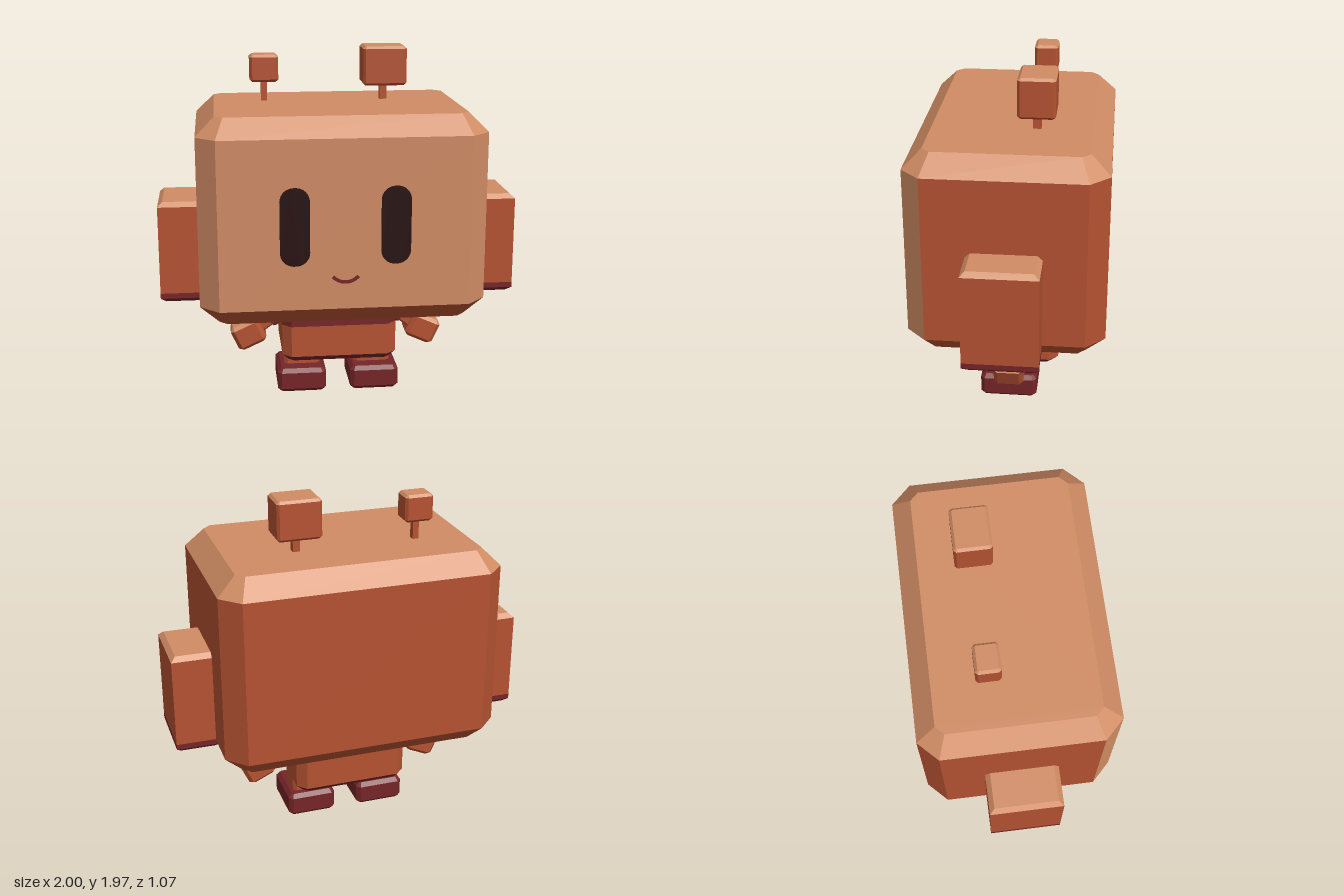
import * as THREE from 'three';

const flat = (name, color) => {
  const m = new THREE.MeshStandardMaterial({ color });
  m.name = name;
  return m;
};

// Lofted block with cut vertical corners.
// rings: [y, inset] from bottom to top. layers: material index for the
// bottom cap, each band and the top cap; an entry may be a function of the side.
function block(hw, hd, cut, rings, layers) {
  const loops = rings.map(([y, inset]) => {
    const w = hw - inset, d = hd - inset, c = Math.max(0, cut - inset * 0.586);
    return [[c - w, d], [w - c, d], [w, d - c], [w, c - d], [w - c, -d], [c - w, -d], [-w, c - d], [-w, d - c]]
      .map(([x, z]) => new THREE.Vector3(x, y, z));
  });
  const points = [];
  const geo = new THREE.BufferGeometry();
  const tri = (a, b, c, mat) => {
    const area = b.clone().sub(a).cross(c.clone().sub(a)).length();
    if (area < 1e-8) return;
    geo.addGroup(points.length, 3, mat);
    points.push(a, b, c);
  };
  const pick = (layer, side) => (typeof layer === 'function' ? layer(side) : layer);
  const low = loops[0], high = loops[loops.length - 1];
  for (let i = 1; i < 7; i++) {
    tri(low[0], low[i + 1], low[i], pick(layers[0], i));
    tri(high[0], high[i], high[i + 1], pick(layers[layers.length - 1], i));
  }
  for (let r = 0; r + 1 < loops.length; r++) {
    for (let i = 0; i < 8; i++) {
      const j = (i + 1) % 8, mat = pick(layers[r + 1], i);
      tri(loops[r][i], loops[r][j], loops[r + 1][j], mat);
      tri(loops[r][i], loops[r + 1][j], loops[r + 1][i], mat);
    }
  }
  geo.setFromPoints(points);
  geo.computeVertexNormals();
  return geo;
}

// Four rings of a box bevelled at top and bottom
const bevelled = (y0, y1, b) => [[y0, b], [y0 + b, 0], [y1 - b, 0], [y1, b]];

export function createModel() {
  const model = new THREE.Group();
  model.name = 'robot';
  const tan = flat('tan', 0xd08c64);
  const rust = flat('rust', 0xb55232);
  const maroon = flat('maroon', 0x752528);
  const ink = flat('darkBrown', 0x270e0e);
  const palette = [tan, rust, maroon];
  const T = 0, R = 1, M = 2;

  const add = (name, geo, mat = palette, x = 0, y = 0, z = 0, tilt = 0) => {
    const mesh = new THREE.Mesh(geo, mat);
    mesh.name = name;
    mesh.position.set(x, y, z);
    mesh.rotation.z = tilt;
    model.add(mesh);
    return mesh;
  };

  // Head: tan face and top, rust sides, back and underside
  const faceSides = (side) => ([7, 0, 1].includes(side) ? T : R);
  add('head', block(0.78, 0.53, 0.105, bevelled(0.525, 1.66, 0.103), [R, R, faceSides, T, T]));

  // Torso with maroon shoulders and hem
  add('torso', block(0.325, 0.26, 0.05,
    [[0.215, 0.035], [0.25, 0], [0.43, 0], [0.54, 0]], [M, M, R, M, M]));

  // Face: rounded eye plates and a smile
  const w = 0.08, h = 0.213, r = 0.075;
  const eyeShape = new THREE.Shape();
  eyeShape.moveTo(-w + r, -h);
  eyeShape.lineTo(w - r, -h);
  eyeShape.absarc(w - r, -h + r, r, -Math.PI / 2, 0);
  eyeShape.absarc(w - r, h - r, r, 0, Math.PI / 2);
  eyeShape.absarc(-w + r, h - r, r, Math.PI / 2, Math.PI);
  eyeShape.absarc(-w + r, -h + r, r, Math.PI, Math.PI * 1.5);
  const eyeGeo = new THREE.ExtrudeGeometry(eyeShape, { depth: 0.007, bevelEnabled: false, curveSegments: 8 });

  const smile = new THREE.Shape();
  const a0 = Math.PI * 1.5 - 0.85, a1 = Math.PI * 1.5 + 0.85;
  smile.absarc(0, 0, 0.1, a0, a1, false);
  smile.absarc(0, 0, 0.082, a1, a0, true);
  add('mouth', new THREE.ExtrudeGeometry(smile, { depth: 0.006, bevelEnabled: false, curveSegments: 12 }),
    maroon, 0, 0.87, 0.53);

  // Mirrored parts
  for (const s of [1, -1]) {
    const side = s > 0 ? 'left' : 'right';
    add(side + 'Eye', eyeGeo, ink, s * 0.27, 1.087, 0.529);

    add(side + 'Ear', block(0.125, 0.2, 0,
      [[0.58, 0.03], [0.605, 0], [0.635, 0], [1.13, 0], [1.155, 0.027]],
      [M, M, M, R, T, T]), palette, s * 0.875);

    // Arm: sleeve, forearm and hand
    add(side + 'Sleeve', block(0.09, 0.06, 0, bevelled(-0.06, 0.06, 0.012), [M, M, M, M, M]),
      palette, s * 0.325, 0.464, 0, -s * 0.64);
    add(side + 'Forearm', block(0.07, 0.05, 0, bevelled(-0.05, 0.05, 0.012), [R, R, R, R, R]),
      palette, s * 0.43, 0.388, 0, -s * 0.64);
    add(side + 'Hand', block(0.088, 0.082, 0.022, bevelled(-0.075, 0.075, 0.02), [R, R, R, T, T]),
      palette, s * 0.512, 0.322, 0, -s * 0.43);

    // Leg and shoe
    add(side + 'Leg', block(0.105, 0.085, 0.02, [[0.12, 0], [0.24, 0]], [R, R, R]), palette, s * 0.205);
    add(side + 'Shoe', block(0.14, 0.162, 0.022, bevelled(0, 0.14, 0.022), [M, M, M, M, M]),
      palette, s * 0.21, 0, 0.022);
  }

  // Antennae of unequal size: [name, x, half width, half depth, bottom, top, stem half width]
  for (const [name, x, hw, hd, y0, y1, stem] of [
    ['leftAntenna', 0.287, 0.123, 0.1, 1.745, 1.965, 0.02],
    ['rightAntenna', -0.392, 0.08, 0.066, 1.77, 1.922, 0.017],
  ]) {
    add(name + 'Block', block(hw, hd, 0.014, bevelled(y0, y1, 0.014), [R, R, R, T, T]), palette, x, 0, -0.133);
    add(name + 'Stem', new THREE.BoxGeometry(stem * 2, y0 - 1.64, stem * 2 + 0.005), rust,
      x, (y0 + 1.65) / 2, -0.13);
  }
  return model;
}
